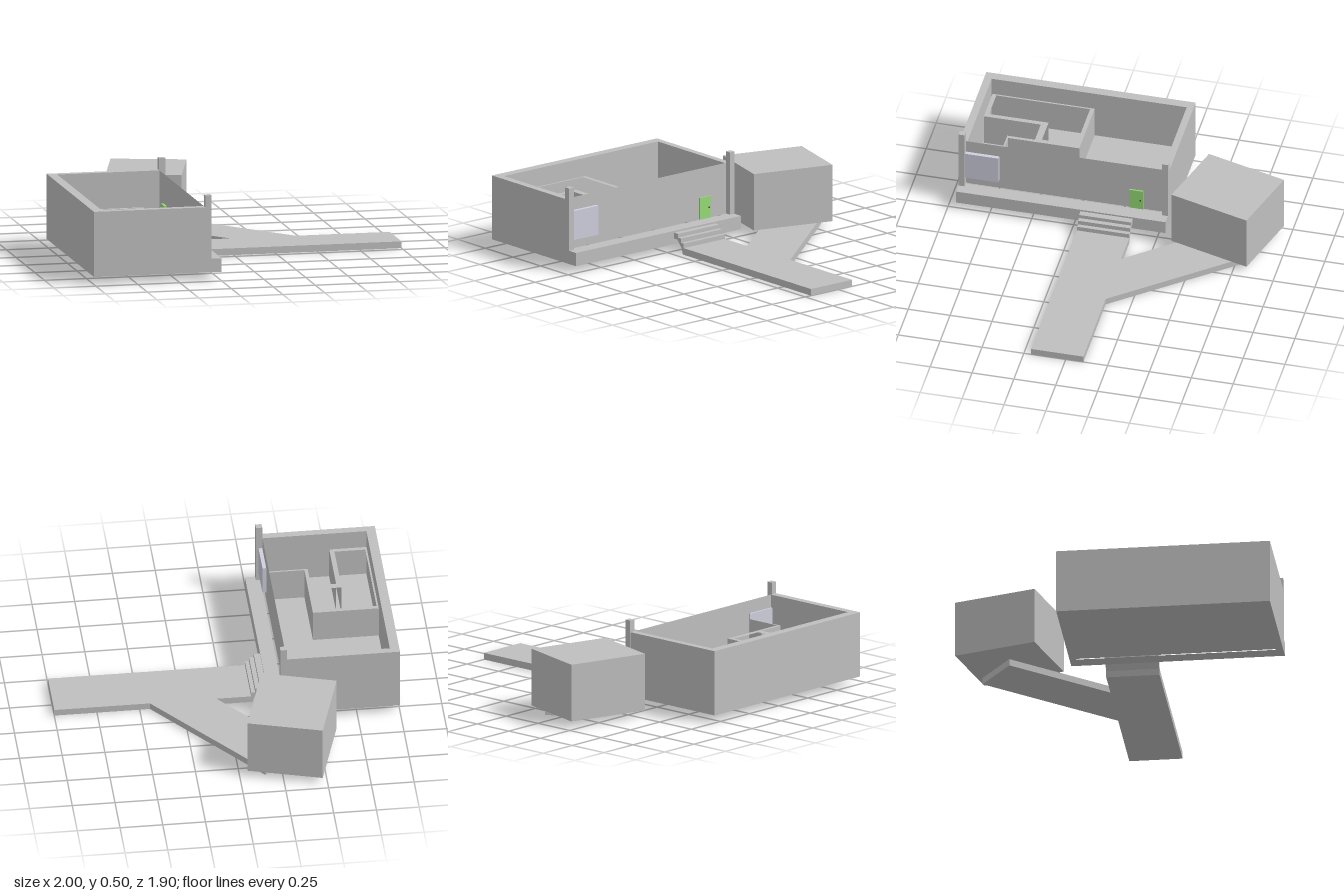
import * as THREE from 'three';

const mat = (name, color, side = THREE.FrontSide) => {
  const m = new THREE.MeshStandardMaterial({ color, side });
  m.name = name;
  return m;
};

export function createModel() {
  const model = new THREE.Group();
  model.name = 'house';
  const concrete = mat('concrete grey', 0xbfbfbf);
  const sheet = mat('sheet grey', 0xbfbfbf, THREE.DoubleSide);
  const glass = mat('window glass', 0xcfcfde);
  const green = mat('door green', 0x96dc76);
  const dark = mat('handle dark', 0x404040);

  const add = (name, geometry, material = concrete) => {
    const mesh = new THREE.Mesh(geometry, material);
    mesh.name = name;
    model.add(mesh);
    return mesh;
  };

  // box given by its extents
  const box = (name, x0, x1, y0, y1, z0, z1, material) => {
    const mesh = add(name, new THREE.BoxGeometry(x1 - x0, y1 - y0, z1 - z0), material);
    mesh.position.set((x0 + x1) / 2, (y0 + y1) / 2, (z0 + z1) / 2);
    return mesh;
  };

  // floor plan of [x, z] points raised from y0 to y1
  const points = (list) => list.map(([x, z]) => new THREE.Vector2(x, -z));
  const plan = (name, outline, y0, y1, hole) => {
    const shape = new THREE.Shape(points(outline));
    if (hole) shape.holes.push(new THREE.Path(points(hole)));
    const g = new THREE.ExtrudeGeometry(shape, { depth: y1 - y0, bevelEnabled: false });
    g.rotateX(-Math.PI / 2).translate(0, y0, 0);
    return add(name, g);
  };
  const rect = (x0, x1, z0, z1) => [[x0, z0], [x1, z0], [x1, z1], [x0, z1]];

  // base slab and porch, with a narrow slot along the facade
  plan('baseAndPorch', rect(-1, -0.24, -0.3, 0.95), 0.045, 0.125,
    rect(-0.337, -0.327, -0.262, 0.905));

  // thick walls on three sides
  plan('outerWalls', [
    [-1, -0.3], [-0.337, -0.3], [-0.337, -0.26], [-0.945, -0.26],
    [-0.945, 0.905], [-0.337, 0.905], [-0.337, 0.95], [-1, 0.95],
  ], 0.125, 0.43);

  // thin facade wall behind the porch
  const facade = add('facadeWall', new THREE.PlaneGeometry(1.165, 0.305), sheet);
  facade.rotation.y = Math.PI / 2;
  facade.position.set(-0.337, 0.2775, 0.3225);

  // low inner walls around two L-shaped rooms
  plan('roomPartitions', [
    [-0.945, 0.29], [-0.56, 0.29], [-0.56, 0.715], [-0.338, 0.715], [-0.338, 0.725],
    [-0.58, 0.725], [-0.58, 0.56], [-0.727, 0.56], [-0.727, 0.9], [-0.945, 0.9],
  ], 0.125, 0.32, [
    [-0.935, 0.315], [-0.59, 0.315], [-0.59, 0.52], [-0.755, 0.52],
    [-0.755, 0.875], [-0.935, 0.875],
  ]);

  // porch posts
  for (const z of [-0.303, 0.914]) box('porchPost', -0.337, -0.3, 0.125, 0.5, z, z + 0.036);

  // window, door and handle
  box('window', -0.348, -0.315, 0.178, 0.353, 0.715, 0.915, glass);
  box('door', -0.353, -0.328, 0.125, 0.255, -0.145, -0.065, green);
  box('doorHandle', -0.328, -0.323, 0.184, 0.192, -0.135, -0.127, dark);

  // stairs: stepped top and sloping underside
  const profile = [
    [-0.24, 0.115], [-0.203, 0.115], [-0.203, 0.093], [-0.176, 0.093], [-0.176, 0.067],
    [-0.152, 0.067], [-0.152, 0.04], [-0.132, 0.04], [-0.132, 0], [-0.16, 0],
    [-0.17, 0.035], [-0.21, 0.08], [-0.24, 0.08],
  ].map(([x, y]) => new THREE.Vector2(x, y));
  const stairs = new THREE.ExtrudeGeometry(new THREE.Shape(profile), { depth: 0.312, bevelEnabled: false });
  add('stairs', stairs.translate(0, 0, -0.105));

  // forked path
  plan('path', [
    [-0.132, -0.105], [0.05, -0.105], [-0.39, -0.645], [-0.15, -0.83],
    [0.44, -0.105], [1, -0.105], [1, 0.207], [-0.132, 0.207],
  ], 0, 0.04);

  // turned outbuilding at the end of the path
  const shed = box('outbuilding', -0.5485, -0.1055, 0.04, 0.38, -0.902, -0.402);
  shed.rotation.y = -0.28;

  return model;
}
